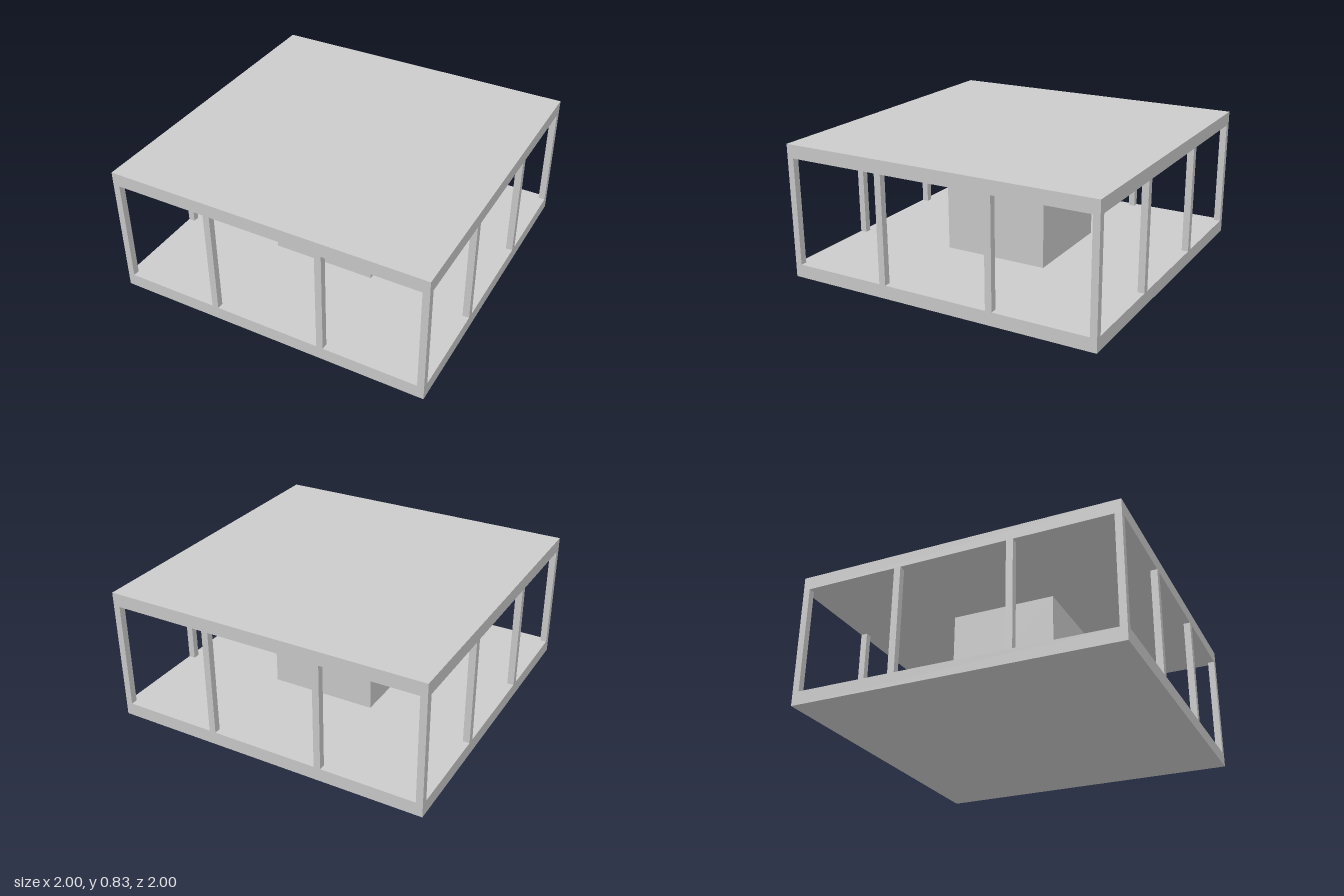
import * as THREE from 'three';

const U = 2 / 48;          // building module: 48 x 20 x 48
const SLAB = 2 * U;        // slab thickness
const STOREY = 16 * U;     // clear height between slabs

export function createModel() {
  const model = new THREE.Group();
  model.name = 'pavilion';
  const material = new THREE.MeshStandardMaterial({ color: 0xcccccc, flatShading: true });

  const addBox = (name, parent, [w, h, d], [x, bottom, z]) => {
    const mesh = new THREE.Mesh(new THREE.BoxGeometry(w, h, d), material);
    mesh.name = name;
    mesh.position.set(x, bottom + h / 2, z);
    parent.add(mesh);
  };

  // Floor and roof slabs
  addBox('floorSlab', model, [2, SLAB, 2], [0, 0, 0]);
  addBox('roofSlab', model, [2, SLAB, 2], [0, SLAB + STOREY, 0]);

  // Solid central core, floor to ceiling
  addBox('core', model, [16 * U, STOREY, 16 * U], [0, SLAB, 0]);

  // Slim square columns flush with the slab edges: corners plus two per side
  const columns = new THREE.Group();
  columns.name = 'columns';
  model.add(columns);
  const edge = 23.5 * U;
  const inner = 8.5 * U;
  const addColumn = (name, x, z) => addBox(name, columns, [U, STOREY, U], [x, SLAB, z]);
  for (const sx of [-1, 1]) {
    for (const sz of [-1, 1]) {
      addColumn('cornerColumn', sx * edge, sz * edge);
      addColumn('frontBackColumn', sx * inner, sz * edge);
      addColumn('sideColumn', sx * edge, sz * inner);
    }
  }

  return model;
}
